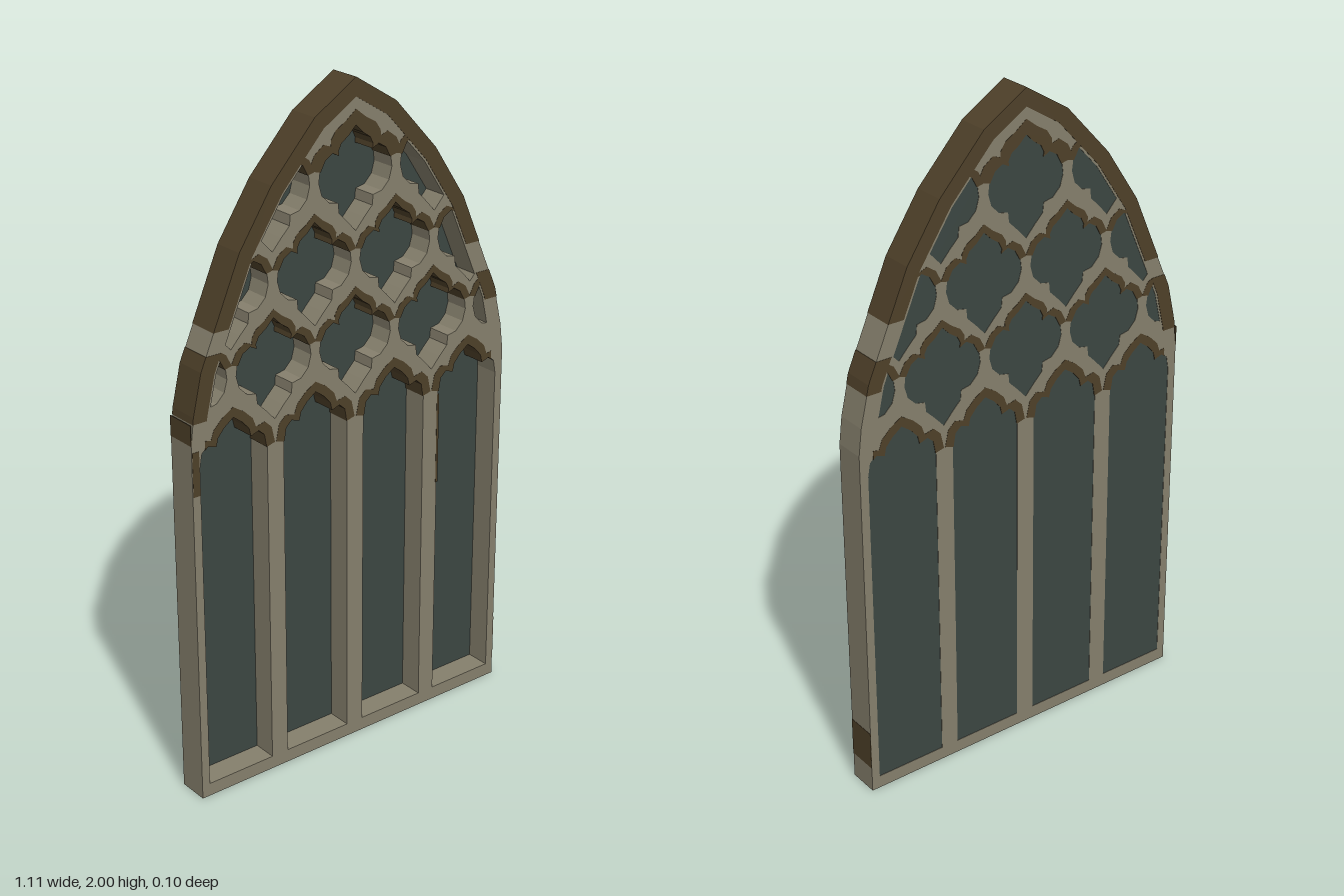
import * as THREE from 'three';

const D = 0.047; // half thickness of the window
const V = (x, y) => new THREE.Vector2(x, y);
const mat = (name, color) => {
  const m = new THREE.MeshStandardMaterial({ color });
  m.name = name;
  return m;
};

// half of the pointed arch, bottom to apex
const ARCH = [[0.555, 0], [0.555, 1.1], [0.545, 1.18], [0.517, 1.3], [0.48, 1.385], [0.386, 1.6],
  [0.28, 1.76], [0.137, 1.915], [0, 2]].map(p => V(...p));
// half of a four-lobed opening, top to bottom, about its centre
const FOIL = [[0, 0.14], [0.025, 0.115], [0.05, 0.098], [0.06, 0.078], [0.058, 0.064], [0.08, 0.075],
  [0.105, 0.06], [0.121, 0.03], [0.125, 0], [0.115, -0.035], [0.09, -0.06], [0.06, -0.066],
  [0.057, -0.095], [0.03, -0.122], [0, -0.155]].map(p => V(...p));
// half of a cusped lancet head, apex to springing
const HEAD = [[0, 1.15], [0.03, 1.128], [0.052, 1.103], [0.058, 1.078], [0.085, 1.087], [0.104, 1.07],
  [0.111, 1.03]].map(p => V(...p));

const flip = pts => pts.map(p => V(-p.x, p.y));
const shift = (pts, x, y) => pts.map(p => V(p.x + x, p.y + y));
// half profile (top to bottom) into a full left-to-right run over the top
const overTop = half => [...flip(half).reverse(), ...half.slice(1)];

// half arch moved inward by d, with mitred corners
function insetHalf(d) {
  const pts = ARCH.map((p, i) => {
    const a = ARCH[Math.max(i - 1, 0)], b = ARCH[i + 1] ?? V(-ARCH[i - 1].x, ARCH[i - 1].y);
    const t1 = (i ? p.clone().sub(a) : b.clone().sub(p)).normalize();
    const t2 = b.clone().sub(p).normalize();
    const n = V(-t1.y - t2.y, t1.x + t2.x).normalize();
    return p.clone().addScaledVector(n, d / (n.x * -t1.y + n.y * t1.x));
  });
  pts[pts.length - 1].x = 0;
  return pts;
}
const insetArch = d => {
  const h = insetHalf(d);
  return [...h, ...flip(h).reverse().slice(1)];
};

// clip a polygon to a convex counter-clockwise one
function clip(poly, convex) {
  let out = poly;
  convex.forEach((a, i) => {
    const b = convex[(i + 1) % convex.length];
    const side = p => (b.x - a.x) * (p.y - a.y) - (b.y - a.y) * (p.x - a.x);
    const src = out;
    out = [];
    src.forEach((p, j) => {
      const q = src[(j + 1) % src.length], sp = side(p), sq = side(q);
      if (sp >= 0) out.push(p);
      if ((sp >= 0) !== (sq >= 0)) out.push(p.clone().lerp(q, sp / (sp - sq)));
    });
  });
  return out;
}

function slab(name, pts, z0, z1, material, holes = []) {
  const shape = new THREE.Shape(pts);
  shape.holes = holes.map(h => new THREE.Path(h));
  const geo = new THREE.ExtrudeGeometry(shape, { depth: z1 - z0, bevelEnabled: false });
  geo.translate(0, 0, z0);
  const mesh = new THREE.Mesh(geo, material);
  mesh.name = name;
  return mesh;
}

export function createModel() {
  const stone = mat('stone', 0x857f6c);
  const brown = mat('dark brown stone', 0x4e4029);
  const glass = mat('dark glass', 0x3c4642);
  const group = new THREE.Group();
  group.name = 'traceryWindow';

  const bounds = insetArch(0.05);
  const holes = [], hoods = [];
  // brown strip over the top of an opening, widened away from (cx, cy)
  const addHood = (run, cx, cy, width) => {
    const c = V(cx, cy);
    const outer = run.map(p => p.clone().add(p.clone().sub(c).setLength(width)));
    const inner = run.map(p => p.clone().lerp(c, 0.02));
    hoods.push(clip([...outer, ...inner.reverse()], insetArch(0.044)));
  };

  // four tall lights
  for (const x of [-0.418, -0.14, 0.14, 0.418]) {
    const run = shift(overTop(HEAD), x, 0);
    holes.push([...run, V(x + 0.111, 0.04), V(x - 0.111, 0.04)]);
    addHood(run, x, 1.0, 0.027);
  }

  // lattice of foils, cut off by the arch at the sides
  const rows = [[1.26, [-0.56, -0.28, 0, 0.28, 0.56]], [1.495, [-0.42, -0.14, 0.14, 0.42]],
    [1.735, [-0.28, 0, 0.28]]];
  for (const [y, xs] of rows) for (const x of xs) {
    holes.push(clip(shift([...overTop(FOIL).slice(0, -1)], x, y), bounds));
    const top = overTop(FOIL.filter(p => p.y >= 0.025));
    addHood(shift(top, x, y), x, y, y > 1.7 && x === 0 ? 0.04 : 0.021);
  }

  group.add(slab('stoneTracery', insetArch(0), -D, D, stone, holes));
  group.add(slab('glassPane', insetArch(0.015), -D + 0.0012, -0.028, glass));
  hoods.forEach(h => group.add(slab('hoodMould', h, -D - 0.0006, D + 0.0006, brown)));

  // brown stretches of the outer arch: side, lowest y, highest y
  const band = [...insetHalf(-0.001), ...insetHalf(0.044).reverse()];
  for (const [s, y0, y1] of [[1, 1.27, 1.36], [1, 1.455, 2.1], [-1, 1.16, 1.34], [-1, 1.4, 2.1]]) {
    const part = clip(band, [V(-1, y0), V(1, y0), V(1, y1), V(-1, y1)]);
    group.add(slab('archRim', s > 0 ? part : flip(part), -D - 0.001, D + 0.001, brown));
  }

  // stained patches on the jambs
  const patch = (x, y0, y1, w, z0, z1) => {
    const m = new THREE.Mesh(new THREE.BoxGeometry(w, y1 - y0, z1 - z0), brown);
    m.position.set(x, (y0 + y1) / 2, (z0 + z1) / 2);
    m.name = 'jambStain';
    group.add(m);
  };
  patch(0.555, 0.08, 0.2, 0.002, -D, D);
  patch(-0.555, 1.1, 1.16, 0.002, -D, D);
  patch(0.307, 0.74, 1.02, 0.008, -0.03, D + 0.0006);
  patch(-0.542, 0.95, 1.08, 0.022, D - 0.002, D + 0.0006);
  return group;
}
